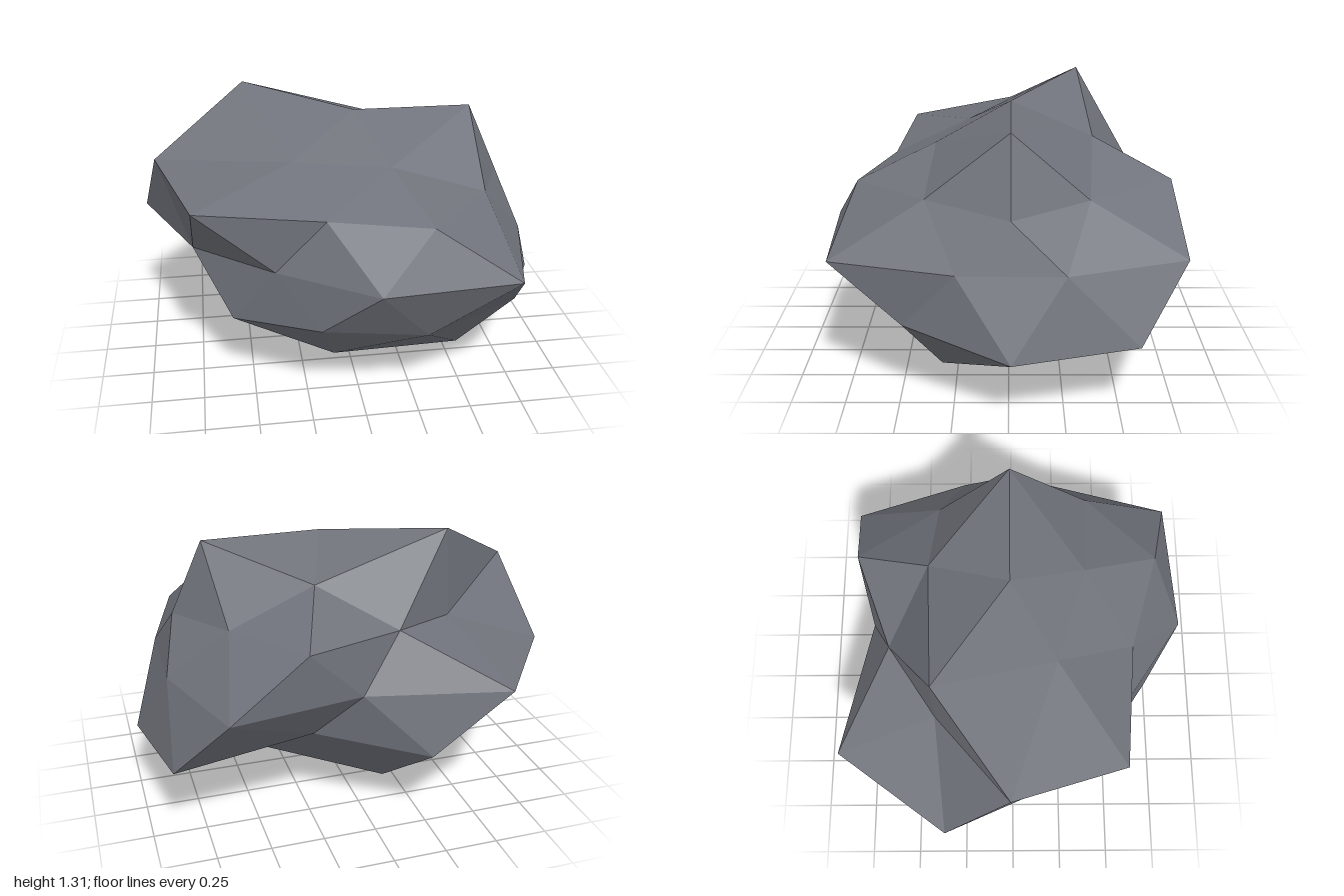
import * as THREE from 'three';

// Rings of the boulder, top to bottom: unit height, first azimuth in degrees,
// and how far each corner is pushed out, going round from +x towards +z.
const RINGS = [
  { h: 1, start: 0, push: [0.94] },
  { h: 0.851, start: 0, push: [1.1, 0.775, 0.77, 1.222, 0.84] },
  { h: 0.526, start: 36, push: [0.83, 0.79, 1.14, 0.78, 0.77] },
  { h: 0.447, start: 0, push: [0.82, 0.92, 1.11, 0.74, 0.96] },
  { h: 0, start: 18, push: [0.84, 1.095, 0.935, 0.75, 0.852, 1.104, 1.13, 0.75, 1.065, 0.85] },
  { h: -0.447, start: 36, push: [1, 0.895, 0.81, 1.05, 1.17] },
  { h: -0.526, start: 0, push: [1.11, 0.945, 0.93, 1.02, 0.73] },
  { h: -0.851, start: 36, push: [1.145, 1, 0.8, 1.065, 0.85] },
  { h: -1, start: 0, push: [1.12] },
];

// Push factor for a point on the unit sphere
function pushAt(p) {
  const ring = RINGS.reduce((a, b) => (Math.abs(b.h - p.y) < Math.abs(a.h - p.y) ? b : a));
  const n = ring.push.length;
  const azimuth = THREE.MathUtils.radToDeg(Math.atan2(p.z, p.x));
  const i = Math.round(((azimuth - ring.start) * n) / 360);
  return ring.push[((i % n) + n) % n];
}

export function createModel() {
  const group = new THREE.Group();
  group.name = 'boulder';

  const stone = new THREE.MeshStandardMaterial({ color: 0x6f727a, flatShading: true });
  stone.name = 'slate grey stone';

  // Faceted sphere turned so that a corner sits at each pole
  const geometry = new THREE.IcosahedronGeometry(1, 1);
  geometry.rotateZ(-Math.atan(2 / (1 + Math.sqrt(5))));

  // Push every corner in or out, flatten, and rest on the ground
  const position = geometry.attributes.position;
  const squash = new THREE.Vector3(1, 0.607, 0.92);
  const centre = new THREE.Vector3(0.05, 0.68, -0.01);
  const p = new THREE.Vector3();
  for (let i = 0; i < position.count; i++) {
    p.fromBufferAttribute(position, i);
    p.multiplyScalar(pushAt(p)).multiply(squash).add(centre);
    position.setXYZ(i, p.x, p.y, p.z);
  }
  geometry.computeVertexNormals();

  const rock = new THREE.Mesh(geometry, stone);
  rock.name = 'rock';
  group.add(rock);
  return group;
}
